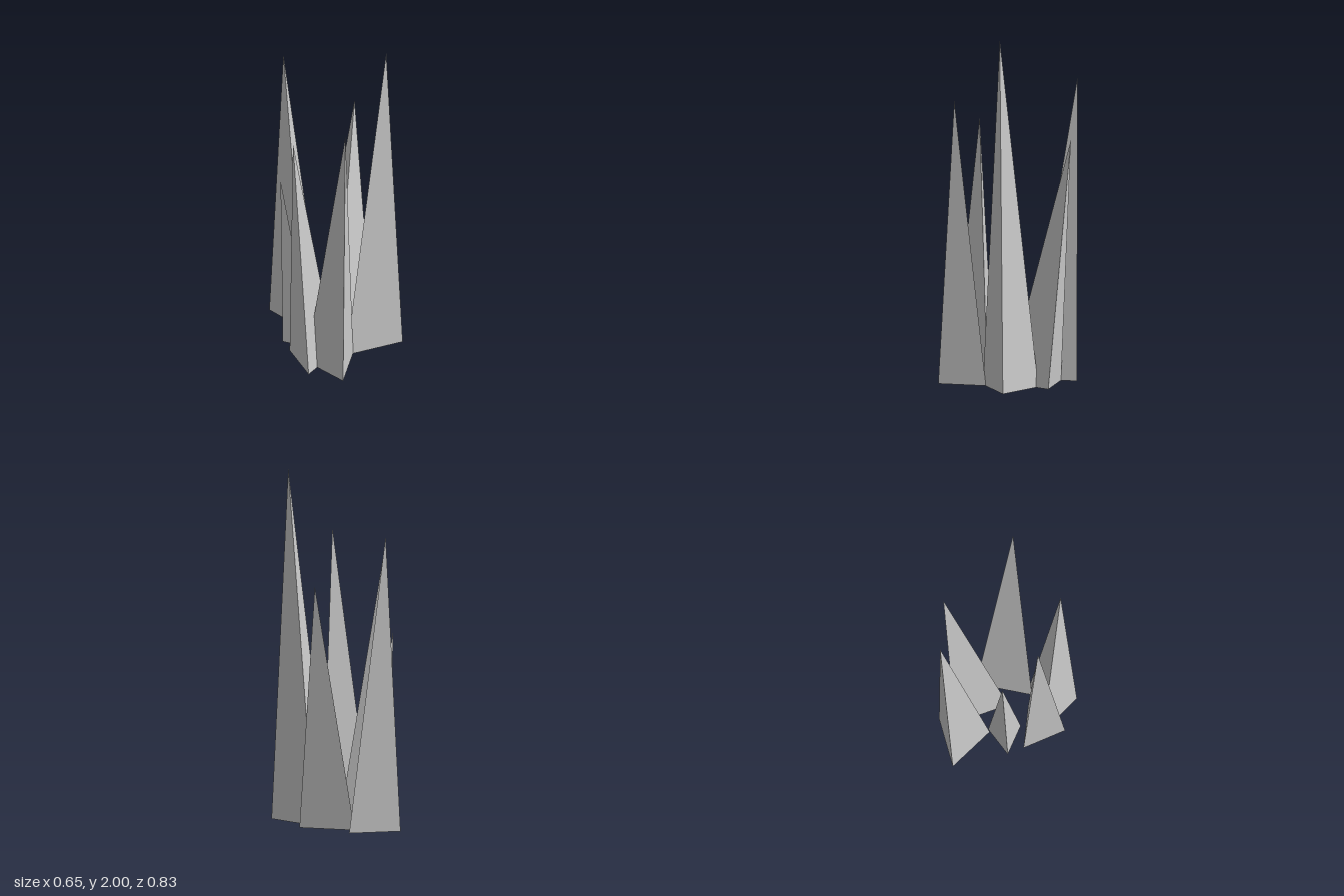
import * as THREE from 'three';
import { ConvexGeometry } from 'three/addons/geometries/ConvexGeometry.js';

// Each blade: apex [x, y, z] and three ground corners [x, z]
const BLADES = [
  { name: 'tallBlade', apex: [0.23, 2, 0.13], base: [[0.13, -0.113], [0.325, 0.133], [-0.015, 0.174]] },
  { name: 'frontBlade', apex: [-0.063, 1.615, 0.328], base: [[-0.1, 0.412], [0.027, 0.166], [-0.249, 0.174]] },
  { name: 'backLeftBlade', apex: [0.163, 1.405, -0.293], base: [[-0.066, -0.286], [0.222, -0.15], [-0.039, 0.031]] },
  { name: 'backRightBlade', apex: [-0.218, 1.705, -0.415], base: [[-0.313, -0.367], [-0.019, -0.367], [-0.167, -0.113]] },
  { name: 'frontRightBlade', apex: [-0.313, 1.475, 0.128], base: [[-0.269, 0.298], [-0.07, 0.137], [-0.309, 0.045]] },
  { name: 'shortBlade', apex: [-0.327, 1.085, -0.083], base: [[-0.323, -0.05], [-0.15, -0.117], [-0.177, 0.065]] },
];

export function createModel() {
  const group = new THREE.Group();
  group.name = 'grassTuft';
  const material = new THREE.MeshStandardMaterial({ color: 0xcccccc, flatShading: true });

  // Three-sided spike with a closed base
  for (const { name, apex, base } of BLADES) {
    const corners = base.map(([x, z]) => new THREE.Vector3(x, 0, z));
    const blade = new THREE.Mesh(new ConvexGeometry([new THREE.Vector3(...apex), ...corners]), material);
    blade.name = name;
    group.add(blade);
  }
  return group;
}
